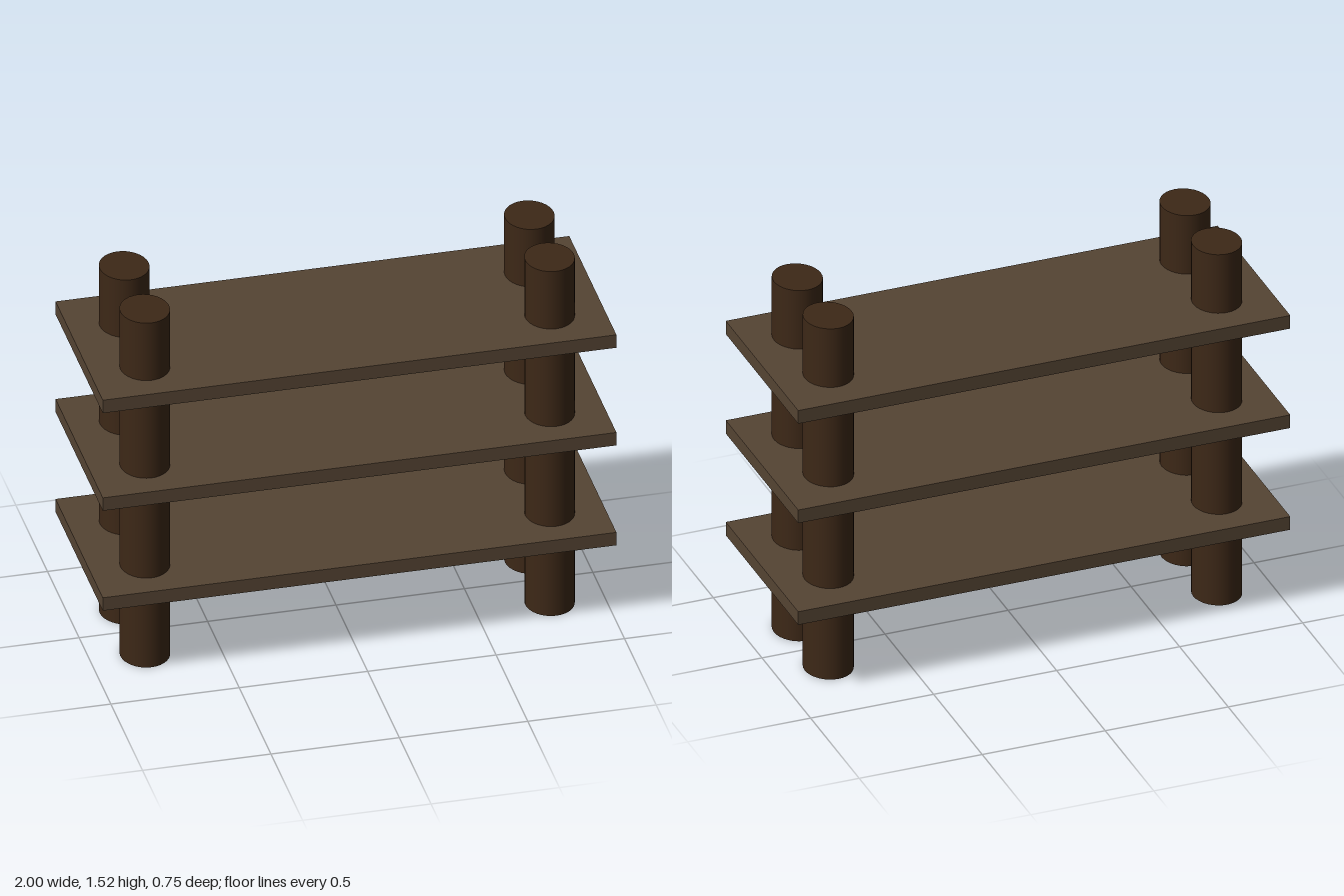
import * as THREE from 'three';

export function createModel() {
  const group = new THREE.Group();
  const postMaterial = new THREE.MeshStandardMaterial({ color: 0x3d2817 });
  const shelfMaterial = new THREE.MeshStandardMaterial({ color: 0x554433 });

  // Slightly oval posts running through all shelves
  const height = 1.52;
  const postGeometry = new THREE.CylinderGeometry(1, 1, height, 32);
  postGeometry.scale(0.095, 1, 0.107);
  const posts = [
    ['frontRightPost', -0.786, 0.168],
    ['frontLeftPost', 0.79, 0.168],
    ['backRightPost', -0.786, -0.157],
    ['backLeftPost', 0.79, -0.15],
  ];
  for (const [name, x, z] of posts) {
    const post = new THREE.Mesh(postGeometry, postMaterial);
    post.name = name;
    post.position.set(x, height / 2, z);
    group.add(post);
  }

  // Three flat shelf boards
  const shelfGeometry = new THREE.BoxGeometry(2, 0.057, 0.745);
  const shelves = [['lowerShelf', 0.366], ['middleShelf', 0.807], ['upperShelf', 1.238]];
  for (const [name, y] of shelves) {
    const shelf = new THREE.Mesh(shelfGeometry, shelfMaterial);
    shelf.name = name;
    shelf.position.y = y;
    group.add(shelf);
  }

  return group;
}
